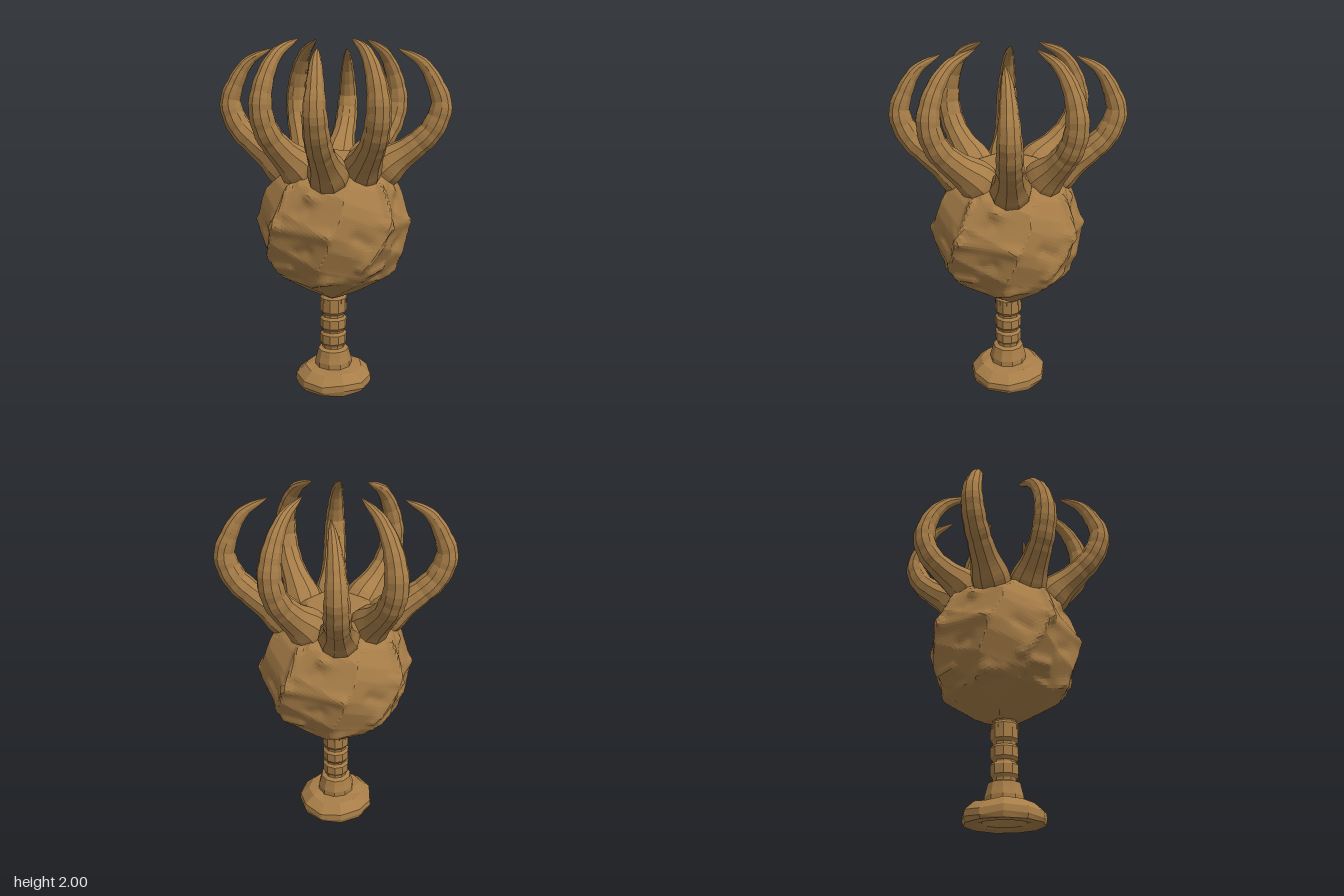
import * as THREE from 'three';

const V3 = (x, y, z) => new THREE.Vector3(x, y, z);
const CENTRE_Y = 0.97;

// Smallest distance from point p to segment ab
function segmentDistance(p, a, b) {
  return new THREE.Line3(a, b).closestPointToPoint(p, true, V3()).distanceTo(p);
}

// Direction on the head for a place on its front (x, y)
function onHead(x, y) {
  const dy = y - CENTRE_Y;
  return V3(x, dy, Math.sqrt(Math.max(0.001, 0.185 - x * x - dy * dy))).normalize();
}

// Rough carved ball: cut planes give facets, ridges and hollows repeat on four sides
function headGeometry() {
  const planes = [];
  for (let i = 0; i < 18; i++) {
    const y = 0.9 - 1.8 * (i + 0.5) / 18;
    const a = i * 2.39996;
    const s = Math.sqrt(1 - y * y);
    const d = 0.404 + 0.024 * Math.max(0, y) + 0.012 * Math.sin(i * 4.7);
    for (let k = 0; k < 4; k++) {
      const t = a + k * Math.PI / 2;
      planes.push({ n: V3(s * Math.cos(t), y, s * Math.sin(t)), d });
    }
  }
  planes.push({ n: V3(0, 1, 0), d: 0.408 }, { n: V3(0, -1, 0), d: 0.412 });

  // x1, y1, x2, y2, height, width
  const marks = [
    [0.03, 1.03, 0.04, 1.23, 0.024, 0.06],
    [0.02, 1.03, -0.32, 1.2, 0.02, 0.08],
    [-0.12, 0.8, 0.01, 1.0, 0.018, 0.07],
    [0.04, 1.02, 0.3, 1.0, 0.018, 0.1],
    [-0.05, 0.77, 0.05, 0.77, 0.02, 0.09],
    [-0.26, 0.72, -0.2, 0.72, 0.014, 0.1],
    [0.18, 0.7, 0.25, 0.74, 0.014, 0.1],
    [-0.16, 0.98, -0.1, 0.94, -0.016, 0.12],
    [0.14, 0.88, 0.2, 0.9, -0.014, 0.12],
    [0.14, 1.12, 0.18, 1.14, -0.01, 0.12],
    [-0.08, 0.7, 0.08, 0.7, -0.01, 0.07],
  ].map(([x1, y1, x2, y2, h, w]) => ({ a: onHead(x1, y1), b: onHead(x2, y2), h, w }));

  const geo = new THREE.IcosahedronGeometry(1, 26);
  const pos = geo.attributes.position;
  const dir = V3(), q = V3(), up = V3(0, 1, 0);
  for (let i = 0; i < pos.count; i++) {
    dir.fromBufferAttribute(pos, i).normalize();
    let r = 0.46;
    for (const { n, d } of planes) {
      const c = n.dot(dir);
      if (c > 0.5) r = Math.min(r, d / c);
    }
    for (let k = 0; k < 4; k++) {
      q.copy(dir).applyAxisAngle(up, k * Math.PI / 2);
      if (q.z < 0) continue;
      for (const m of marks) {
        const d = segmentDistance(q, m.a, m.b) / m.w;
        r += m.h * Math.exp(-d * d * 1.5);
      }
    }
    r = Math.min(r, 0.46);
    pos.setXYZ(i, dir.x * r, dir.y * r, dir.z * r);
  }
  geo.computeVertexNormals();
  return geo;
}

// Tapered, ringed horn that leans out from its root and curls back to its tip
function hornGeometry(root, bend, tip, tipY) {
  const at = (a, b, f, y) => V3(a[0] + (b[0] - a[0]) * f, y, a[1] + (b[1] - a[1]) * f);
  const curve = new THREE.CatmullRomCurve3([
    at(root, bend, -0.12, 1.22),
    at(root, bend, 0.2, 1.33),
    at(root, bend, 0.56, 1.42),
    at(root, bend, 0.86, 1.52),
    at(root, bend, 1, 1.65),
    at(bend, tip, 0.12, tipY - 0.2),
    at(bend, tip, 0.45, tipY - 0.075),
    at(bend, tip, 1, tipY),
  ]);
  const steps = 34, sides = 10;
  const geo = new THREE.TubeGeometry(curve, steps, 1, sides, false);
  const pos = geo.attributes.position;
  const v = V3();
  for (let i = 0; i <= steps; i++) {
    const t = i / steps;
    const c = curve.getPointAt(t);
    const taper = t < 0.55 ? 0.085 - 0.036 * t : 0.065 * Math.pow((1 - t) / 0.45, 0.65);
    const flare = 0.03 * Math.exp(-Math.pow((t - 0.12) / 0.1, 2));
    const ring = t > 0.3 && i % 3 === 0 ? 0.95 : 1;
    const r = Math.max(0.003, (taper + flare) * ring);
    for (let j = 0; j <= sides; j++) {
      const k = i * (sides + 1) + j;
      v.fromBufferAttribute(pos, k).sub(c).multiplyScalar(r).add(c);
      pos.setXYZ(k, v.x, v.y, v.z);
    }
  }
  geo.computeVertexNormals();
  return geo;
}

function turned(profile, sides) {
  return new THREE.LatheGeometry(profile.map(([r, y]) => new THREE.Vector2(r, y)), sides);
}

export function createModel() {
  const group = new THREE.Group();
  const bronze = new THREE.MeshStandardMaterial({ color: 0xa87e48, flatShading: true });
  bronze.name = 'bronze';
  const add = (name, geo, parent = group) => {
    const mesh = new THREE.Mesh(geo, bronze);
    mesh.name = name;
    parent.add(mesh);
    return mesh;
  };

  // Foot with a hollow underside, slightly uneven around its rim
  const foot = turned([
    [0, 0.06], [0.08, 0.06], [0.12, 0.012], [0.15, 0], [0.216, 0], [0.226, 0.025],
    [0.222, 0.06], [0.168, 0.108], [0.105, 0.115], [0, 0.115],
  ], 11);
  const fp = foot.attributes.position;
  for (let i = 0; i < fp.count; i++) {
    const x = fp.getX(i), z = fp.getZ(i);
    if (Math.hypot(x, z) > 0.16 && fp.getY(i) > 0.01) {
      fp.setY(i, fp.getY(i) + 0.008 * Math.sin(Math.atan2(z, x) * 4));
    }
  }
  add('foot', foot);

  // Stem: flared collar and three beads parted by grooves
  const stem = [[0.108, 0.1], [0.108, 0.145], [0.098, 0.18], [0.09, 0.215], [0.065, 0.225], [0.065, 0.235]];
  for (const [y0, y1] of [[0.24, 0.325], [0.335, 0.42], [0.435, 0.55]]) {
    stem.push([0.066, y0], [0.079, y0 + 0.018], [0.079, y1 - 0.015], [0.066, y1]);
  }
  stem.push([0.075, 0.59]);
  add('stem', turned(stem, 10));

  // Small studs around the top of the stem
  const studs = new THREE.Group();
  studs.name = 'stemStuds';
  group.add(studs);
  for (let i = 0; i < 12; i++) {
    const a = i * Math.PI / 6;
    const stud = add('stud', new THREE.BoxGeometry(0.01, 0.025, 0.009), studs);
    stud.position.set(0.075 * Math.sin(a), 0.52, 0.075 * Math.cos(a));
    stud.rotation.y = a;
  }

  // Head
  add('head', headGeometry()).position.y = CENTRE_Y;

  // Horns: four shapes, each repeated half a turn round
  const horns = new THREE.Group();
  horns.name = 'horns';
  group.add(horns);
  const shapes = [
    [[0.2, -0.01], [0.485, 0.115], [0.205, 0.045], 2.0],
    [[0.01, 0.2], [-0.022, 0.47], [-0.035, 0.215], 2.0],
    [[0.17, 0.17], [0.385, 0.44], [0.215, 0.285], 1.95],
    [[0.18, -0.17], [0.445, -0.385], [0.28, -0.215], 1.95],
  ];
  for (const shape of shapes) {
    const geo = hornGeometry(...shape);
    for (const turn of [0, Math.PI]) add('horn', geo, horns).rotation.y = turn;
  }
  return group;
}
